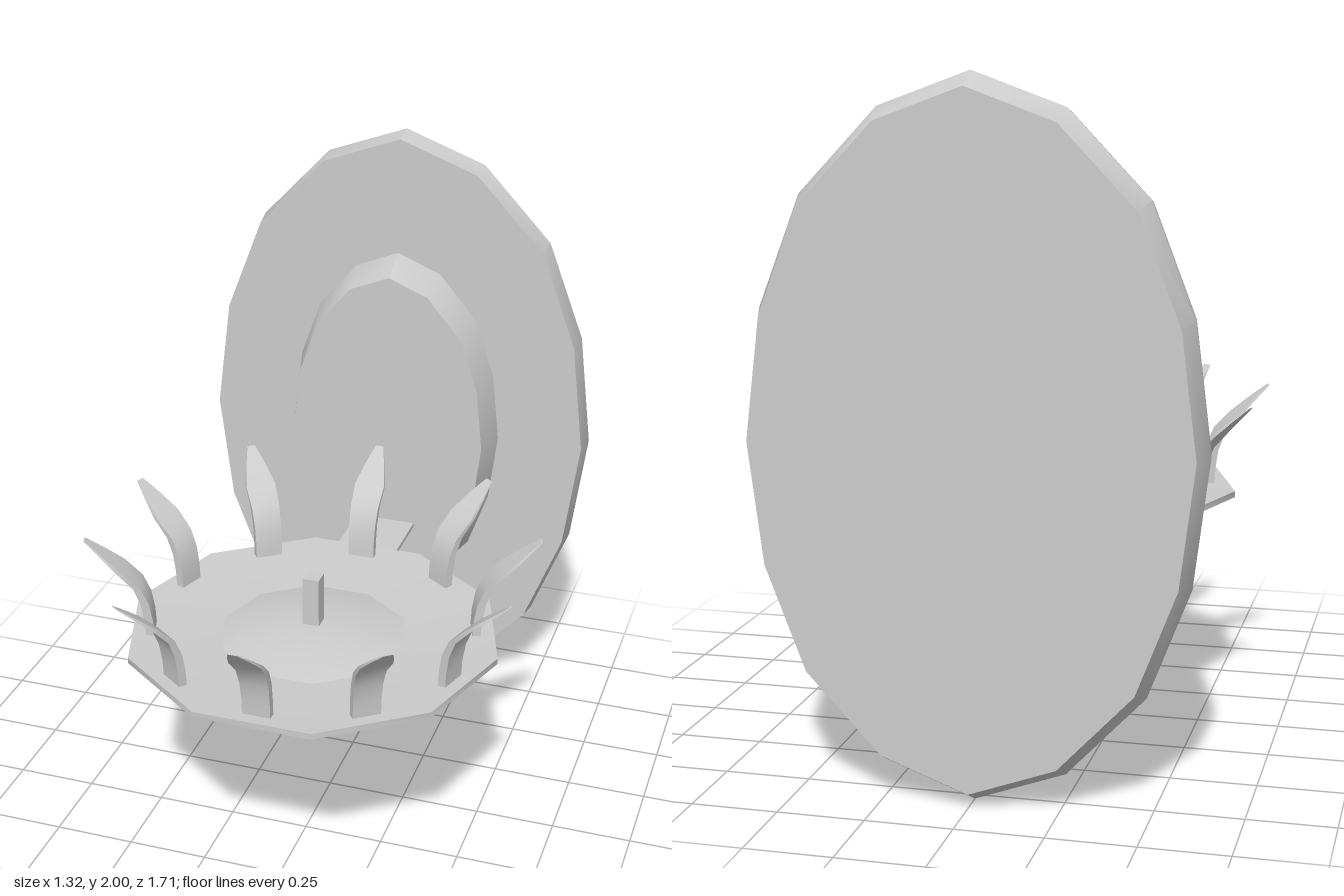
import * as THREE from 'three';
import { toCreasedNormals } from 'three/addons/utils/BufferGeometryUtils.js';

const material = new THREE.MeshStandardMaterial({ color: 0xcccccc });
const DISH_Z = 0.165;

function add(parent, name, geometry, x = 0, y = 0, z = 0) {
  const mesh = new THREE.Mesh(geometry, material);
  mesh.name = name;
  mesh.position.set(x, y, z);
  parent.add(mesh);
  return mesh;
}

// Sixteen-sided oval outline of unit radius, mirrored from one quadrant.
function ovalOutline() {
  const q = [[1, 0], [0.93, 0.36], [0.745, 0.67], [0.4, 0.905], [0, 1]];
  const half = [...q, ...q.slice(1, 4).reverse().map(([x, y]) => [-x, y])];
  return [...half, ...half.map(([x, y]) => [-x, -y])];
}

// Solid oval plate lofted through rings of [z, radiusX, radiusY], back to front.
function ovalPlate(rings) {
  const outline = ovalOutline();
  const n = outline.length;
  const positions = [];
  const index = [];
  for (const [z, rx, ry] of rings) {
    for (const [x, y] of outline) positions.push(x * rx, y * ry, z);
  }
  const last = (rings.length - 1) * n;
  const back = rings.length * n;
  positions.push(0, 0, rings[0][0], 0, 0, rings[rings.length - 1][0]);
  for (let i = 0; i < n; i++) {
    const j = (i + 1) % n;
    for (let r = 0; r < last; r += n) {
      index.push(r + i, r + j, r + n + j, r + i, r + n + j, r + n + i);
    }
    index.push(back, j, i, back + 1, last + i, last + j);
  }
  const g = new THREE.BufferGeometry();
  g.setAttribute('position', new THREE.Float32BufferAttribute(positions, 3));
  g.setIndex(index);
  return toCreasedNormals(g, 0.56);
}

// Ten-sided turned form with a corner on the x axis.
function turned(profile) {
  const points = profile.map(([r, y]) => new THREE.Vector2(r, y));
  return toCreasedNormals(new THREE.LatheGeometry(points, 10, Math.PI / 10), 0.7);
}

// Outward-curling leaf: a box whose rows follow [inner radius, y, width, thickness].
function leafGeometry() {
  const rows = [
    [0.485, 0.675, 0.086, 0.026],
    [0.488, 0.74, 0.086, 0.026],
    [0.498, 0.80, 0.088, 0.025],
    [0.522, 0.855, 0.092, 0.022],
    [0.575, 0.908, 0.098, 0.016],
    [0.63, 0.955, 0.066, 0.010],
    [0.685, 1.0, 0.026, 0.004],
  ];
  const n = rows.length - 1;
  const g = new THREE.BoxGeometry(1, 1, 1, 1, n, 1);
  const p = g.attributes.position;
  for (let i = 0; i < p.count; i++) {
    const [r, y, w, t] = rows[Math.round((p.getY(i) + 0.5) * n)];
    p.setXYZ(i, p.getX(i) * w, y, r + (p.getZ(i) + 0.5) * t);
  }
  g.computeVertexNormals();
  return g;
}

export function createModel() {
  const model = new THREE.Group();
  model.name = 'wallCandleHolder';

  // Wall plate with its raised centre
  add(model, 'backPlate', ovalPlate([
    [-0.855, 0.62, 0.96], [-0.78, 0.647, 1], [-0.705, 0.636, 0.985],
  ]), 0, 1, 0);
  add(model, 'raisedPanel', ovalPlate([
    [-0.72, 0.357, 0.612], [-0.7, 0.355, 0.608], [-0.6, 0.325, 0.56],
  ]), 0, 1, 0);

  // Flat strip joining plate and dish
  add(model, 'arm', new THREE.BoxGeometry(0.2, 0.014, 0.29), 0, 0.682, -0.505);

  // Dish with pointed underside, dome and candle pin
  add(model, 'dish', turned([
    [0, 0.34], [0.025, 0.342], [0.05, 0.358], [0.085, 0.4], [0.135, 0.458],
    [0.2, 0.525], [0.26, 0.578], [0.36, 0.62], [0.47, 0.65], [0.582, 0.676],
    [0.582, 0.695], [0.3, 0.676], [0, 0.672],
  ]), 0, 0, DISH_Z);
  add(model, 'dome', turned([
    [0.3, 0.674], [0.22, 0.695], [0.13, 0.711], [0.06, 0.717], [0, 0.718],
  ]), 0, 0, DISH_Z);
  add(model, 'candlePin', new THREE.BoxGeometry(0.052, 0.175, 0.052), 0, 0.788, DISH_Z);

  // Ring of leaves around the rim
  const leaves = new THREE.Group();
  leaves.name = 'leaves';
  leaves.position.z = DISH_Z;
  const leaf = leafGeometry();
  for (let i = 0; i < 10; i++) {
    add(leaves, 'leaf', leaf).rotation.y = (i * Math.PI) / 5;
  }
  model.add(leaves);

  return model;
}
